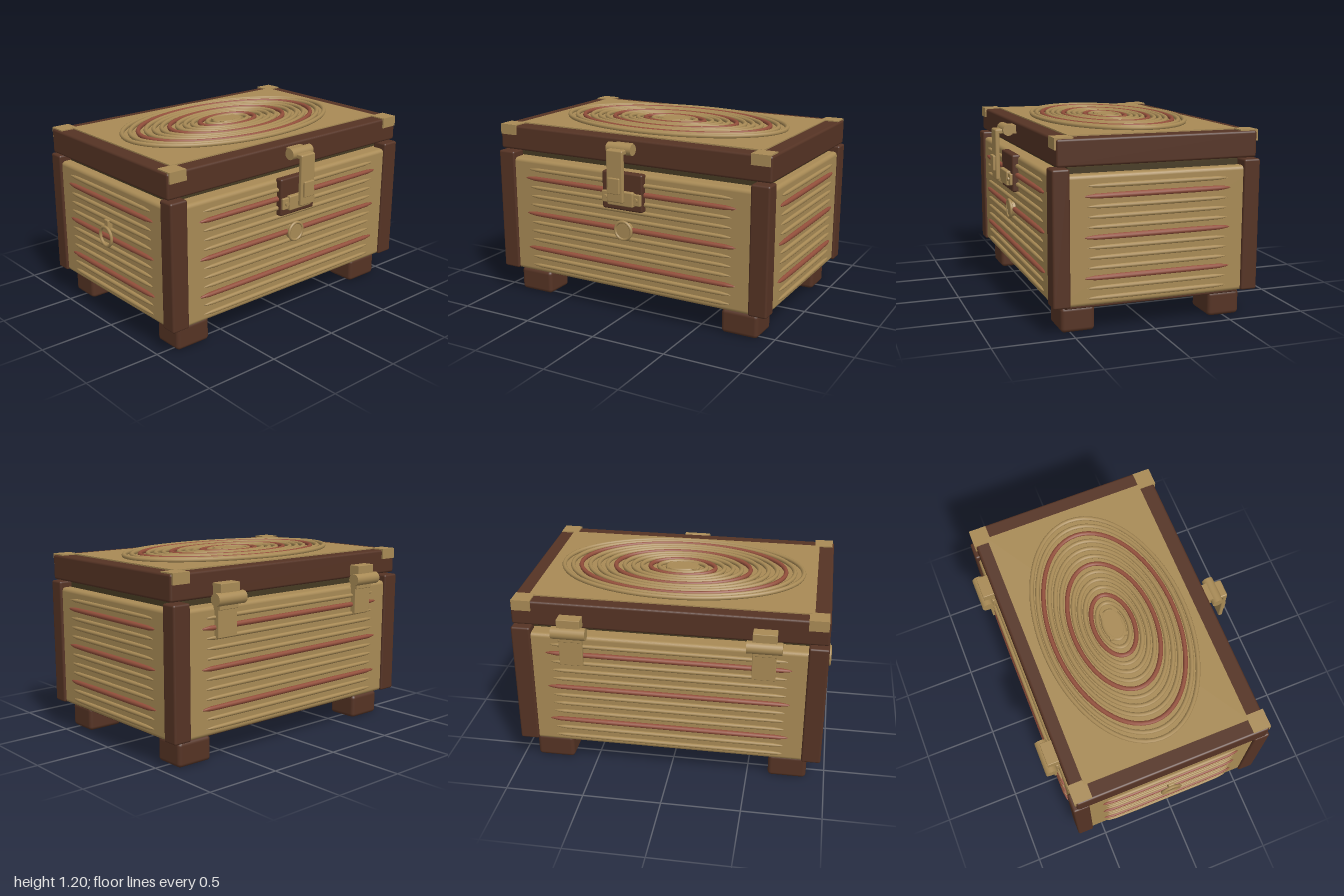
import * as THREE from 'three';
import { RoundedBoxGeometry } from 'three/addons/geometries/RoundedBoxGeometry.js';

// Centre of the chest body
const CX = 0.011, CZ = -0.025;

function mat(name, color) {
  const m = new THREE.MeshStandardMaterial({ color });
  m.name = name;
  return m;
}

export function createModel() {
  const tan = mat('tan wood', 0xa88a55);
  const brown = mat('dark brown wood', 0x553324);
  const red = mat('red inlay', 0x934f3b);
  const olive = mat('dark rim', 0x463a22);

  const root = new THREE.Group();
  root.name = 'chest';

  const add = (name, geo, material, x, y, z, parent = root) => {
    const m = new THREE.Mesh(geo, material);
    m.name = name;
    m.position.set(x, y, z);
    parent.add(m);
    return m;
  };
  // Box given by its limits; r > 0 rounds the edges
  const box = (name, material, [x0, x1], [y0, y1], [z0, z1], r = 0, parent = root) => {
    const s = [x1 - x0, y1 - y0, z1 - z0];
    const geo = r ? new RoundedBoxGeometry(...s, 3, r) : new THREE.BoxGeometry(...s);
    return add(name, geo, material, (x0 + x1) / 2, (y0 + y1) / 2, (z0 + z1) / 2, parent);
  };
  const around = (c, h) => [c - h, c + h];
  const signs = [-1, 1];

  // Body, base and inner rim
  box('body', tan, around(CX, 0.963), [0.175, 0.955], around(CZ, 0.64), 0.025);
  box('base', brown, around(CX, 0.9), [0.145, 0.2], around(CZ, 0.565), 0.01);
  box('innerRim', olive, around(CX, 0.9), [0.94, 0.99], around(CZ, 0.54));

  // Corner posts and feet
  for (const sx of signs) for (const sz of signs) {
    box('cornerPost', brown, around(CX + sx * 0.918, 0.061), [0.178, 0.995], around(CZ + sz * 0.602, 0.053), 0.013);
    box('foot', brown, around(CX + sx * 0.77, 0.123), [0, 0.157], around(CZ + sz * 0.477, 0.105), 0.025);
  }

  // Tapered ribs on all four walls, every fourth one red
  const rib = (half, r) => {
    const pts = [[0, -half], [0.45 * r, -half + 0.02], [0.85 * r, -half + 0.07], [r, -half * 0.5],
      [r, half * 0.5], [0.85 * r, half - 0.07], [0.45 * r, half - 0.02], [0, half]];
    return new THREE.LatheGeometry(pts.map(p => new THREE.Vector2(...p)), 10);
  };
  const ribGeos = {
    long: [rib(0.74, 0.014), rib(0.77, 0.017)],
    short: [rib(0.445, 0.014), rib(0.465, 0.017)],
  };
  const ribs = new THREE.Group();
  ribs.name = 'wallRibs';
  root.add(ribs);
  for (let i = 0; i < 12; i++) {
    const isRed = i % 4 === 2 ? 1 : 0;
    const m = isRed ? red : tan, name = isRed ? 'redRib' : 'rib';
    const y = 0.225 + i * 0.0605;
    for (const s of signs) {
      add(name, ribGeos.long[isRed], m, CX, y, CZ + s * 0.645, ribs).rotation.z = Math.PI / 2;
      add(name, ribGeos.short[isRed], m, CX + s * 0.968, y, CZ, ribs).rotation.x = Math.PI / 2;
    }
  }

  // Lid frame, inset top and corner caps
  box('lid', brown, around(CX, 0.977), [1.005, 1.166], around(CZ, 0.627), 0.015);
  box('lidPanel', tan, around(CX, 0.878), [1.15, 1.174], around(CZ - 0.008, 0.535));
  for (const sx of signs) for (const sz of signs) {
    box('cornerCap', tan, around(CX + sx * 0.907, 0.06), [1.105, 1.173], around(CZ + sz * 0.58, 0.057));
  }

  // Oval rings on the lid, every fourth one red
  const oval = (a, b) => {
    const pts = [];
    for (let i = 0; i < 40; i++) {
      const t = i / 40 * Math.PI * 2;
      pts.push(new THREE.Vector3(a * Math.cos(t), 0, b * Math.sin(t)));
    }
    return new THREE.TubeGeometry(new THREE.CatmullRomCurve3(pts, true), 80, 0.0145, 8, true);
  };
  for (let i = 0; i < 13; i++) {
    const a = 0.1 + i * 0.0575, isRed = i % 4 === 2;
    add(isRed ? 'redLidRing' : 'lidRing', oval(a, a * 0.59), isRed ? red : tan, CX, 1.184, CZ - 0.003);
  }
  box('lidCentrePlate', tan, around(CX, 0.096), [1.16, 1.197], around(CZ - 0.005, 0.054));

  // Cylinder lying along x or facing z
  const rod = (name, r, len, axis, x, y, z, parent = root) => {
    const m = add(name, new THREE.CylinderGeometry(r, r, len, 24), tan, x, y, z, parent);
    if (axis === 'x') m.rotation.z = Math.PI / 2; else m.rotation.x = Math.PI / 2;
    return m;
  };

  // Front latch
  const latch = new THREE.Group();
  latch.name = 'latch';
  root.add(latch);
  box('lockPlate', brown, around(CX, 0.145), [0.72, 0.963], [0.6, 0.655], 0.012, latch);
  box('staple', tan, around(CX, 0.093), [0.755, 0.85], [0.64, 0.682], 0.008, latch);
  for (const s of signs) {
    box('stapleEar', tan, around(CX + s * 0.11, 0.03), [0.765, 0.84], [0.64, 0.67], 0.006, latch);
    rod('screw', 0.014, 0.02, 'z', CX + s * 0.11, 0.803, 0.67, latch);
  }
  rod('latchBarrel', 0.036, 0.175, 'x', CX, 1.117, 0.66, latch);
  box('latchMount', tan, around(CX, 0.058), [1.09, 1.145], [0.59, 0.66], 0, latch);
  box('latchLink', tan, around(CX, 0.058), [1.092, 1.122], [0.66, 0.738], 0.008, latch);
  box('latchStrap', tan, around(CX, 0.058), [0.793, 1.12], [0.713, 0.741], 0.008, latch);
  box('latchTab', tan, around(CX, 0.042), [0.85, 0.95], [0.735, 0.757], 0.005, latch);

  // Round front boss
  rod('bossDisc', 0.058, 0.04, 'z', CX, 0.585, 0.628);
  add('bossRing', new THREE.TorusGeometry(0.058, 0.01, 8, 32), tan, CX, 0.585, 0.645);

  // Ring pull on the right wall
  const pull = add('ringPull', new THREE.TorusGeometry(0.062, 0.01, 8, 32), tan, -0.988, 0.605, CZ);
  pull.rotation.y = Math.PI / 2;
  box('ringPullMount', tan, [-0.985, -0.94], [0.65, 0.715], around(CZ, 0.022), 0.006);

  // Back hinges
  for (const s of signs) {
    const hinge = new THREE.Group();
    hinge.name = 'hinge';
    root.add(hinge);
    const x = CX + s * 0.597;
    rod('hingeBarrel', 0.039, 0.215, 'x', x, 1.0, -0.715, hinge);
    box('hingeLidBlock', tan, around(x, 0.073), [1.02, 1.092], [-0.726, -0.63], 0.004, hinge);
    box('hingeNeck', tan, around(x, 0.073), [0.935, 0.99], [-0.715, -0.66], 0.004, hinge);
    box('hingeLeaf', tan, around(x, 0.073), [0.768, 0.96], [-0.702, -0.655], 0.004, hinge);
  }

  return root;
}
